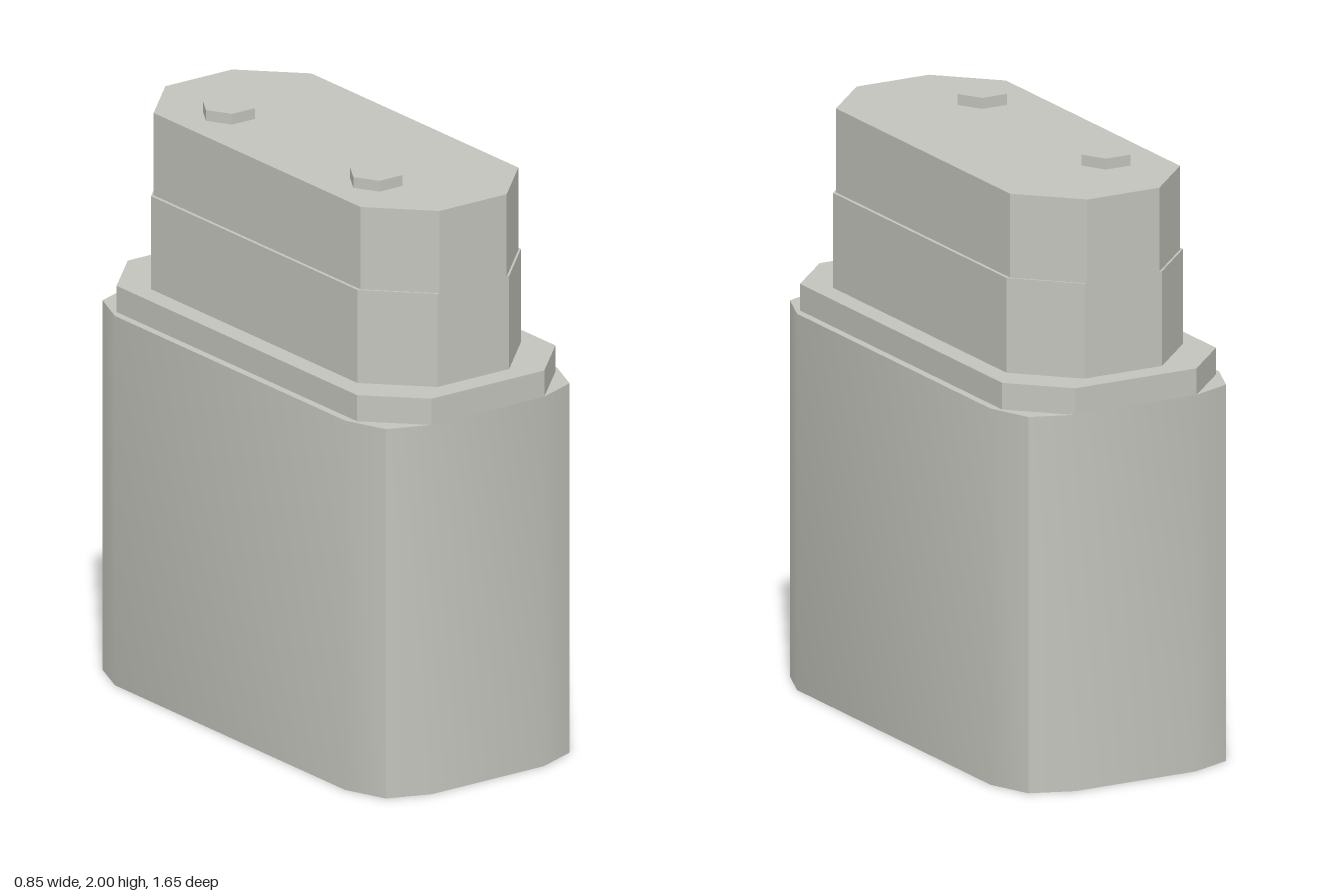
import * as THREE from 'three';
import { toCreasedNormals } from 'three/addons/utils/BufferGeometryUtils.js';

const CREASE = THREE.MathUtils.degToRad(32);

// Full outline from the corner points of the +x, +z quadrant, listed from the front to the side.
function outline(corner) {
  const back = [...corner].reverse();
  return new THREE.Shape([
    ...back.map(([x, z]) => [x, z]),
    ...corner.map(([x, z]) => [-x, z]),
    ...back.map(([x, z]) => [-x, -z]),
    ...corner.map(([x, z]) => [x, -z]),
  ].map(([x, z]) => new THREE.Vector2(x, z)));
}

// Upright prism between two heights.
function prism(corner, y0, y1) {
  const geometry = new THREE.ExtrudeGeometry(outline(corner), { depth: y1 - y0, bevelEnabled: false });
  geometry.rotateX(-Math.PI / 2).translate(0, y0, 0);
  return toCreasedNormals(geometry, CREASE);
}

export function createModel() {
  const group = new THREE.Group();
  group.name = 'casing';
  const grey = new THREE.MeshStandardMaterial({ color: 0xc4c4bd });
  grey.name = 'warm grey';

  const add = (name, geometry) => {
    const mesh = new THREE.Mesh(geometry, grey);
    mesh.name = name;
    group.add(mesh);
    return mesh;
  };

  // Main body with softly rounded faces, then the stepped octagonal tiers
  add('body', prism([[0.225, 0.825], [0.37, 0.77], [0.427, 0.625]], 0, 1.27));
  add('collar', prism([[0.227, 0.825], [0.4, 0.653]], 1.27, 1.36));
  add('lowerTier', prism([[0.145, 0.745], [0.33, 0.56]], 1.36, 1.68));
  add('upperTier', prism([[0.135, 0.745], [0.318, 0.562]], 1.68, 1.963));

  // Hexagonal bolts on the top, set towards the right
  const hex = new THREE.CylinderGeometry(0.092, 0.092, 0.037, 6);
  hex.rotateY(Math.PI / 6);
  const boltGeometry = toCreasedNormals(hex, CREASE);
  for (const [name, z] of [['frontBolt', 0.4], ['rearBolt', -0.4]]) {
    add(name, boltGeometry).position.set(-0.135, 1.9815, z);
  }
  return group;
}
